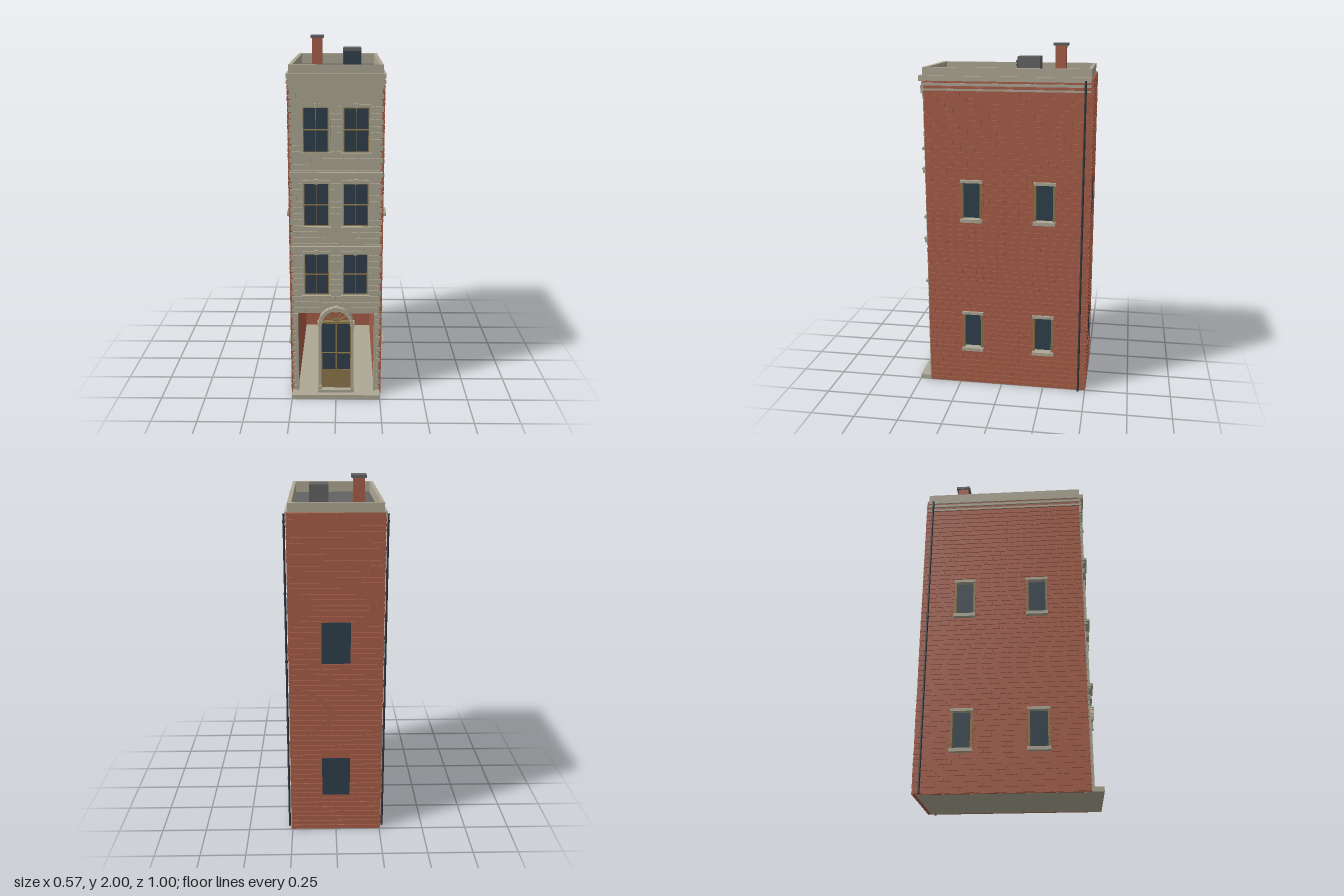
import * as THREE from 'three';
import { mergeGeometries } from 'three/addons/utils/BufferGeometryUtils.js';

const paint = (name, color) => {
  const m = new THREE.MeshStandardMaterial({ color });
  m.name = name;
  return m;
};
const MAT = {
  brick: paint('brick red', 0xa85e48),
  stone: paint('limestone', 0xaea894),
  glass: paint('dark glass', 0x2f3f4c),
  wood: paint('golden wood', 0x8d774b),
  roof: paint('roof grey', 0x626263),
  iron: paint('dark iron', 0x33393e),
};

// Box given by its two extremes on each axis
function span(x0, x1, y0, y1, z0, z1) {
  return new THREE.BoxGeometry(x1 - x0, y1 - y0, z1 - z0)
    .translate((x0 + x1) / 2, (y0 + y1) / 2, (z0 + z1) / 2);
}

function add(parent, name, mat, ...geos) {
  const mesh = new THREE.Mesh(geos.length > 1 ? mergeGeometries(geos) : geos[0], mat);
  mesh.name = name;
  parent.add(mesh);
  return mesh;
}

// Raised running-bond bricks on the plane z = 0, leaving out the holes [u0, u1, v0, v1]
function brickFace(u0, u1, v0, v1, holes, row, len, depth) {
  const geos = [], gap = 0.007;
  const rows = Math.round((v1 - v0) / row), h = (v1 - v0) / rows;
  for (let r = 0; r < rows; r++) {
    const a = v0 + r * h + gap / 2, b = a + h - gap;
    for (let u = u0 - (r % 2) * len / 2; u < u1; u += len) {
      let parts = [[Math.max(u + gap / 2, u0), Math.min(u + len - gap / 2, u1)]];
      for (const [h0, h1, k0, k1] of holes) {
        if (b <= k0 || a >= k1) continue;
        parts = parts.flatMap(([p, q]) => (q <= h0 || p >= h1) ? [[p, q]] : [[p, Math.min(q, h0)], [Math.max(p, h1), q]]);
      }
      for (const [p, q] of parts) if (q - p > 0.005) geos.push(span(p, q, a, b, 0, depth));
    }
  }
  return mergeGeometries(geos);
}

// Rectangular panel with rectangular holes
function panel(u0, u1, v0, v1, holes, depth) {
  const rect = (S, a, b, c, d) => new S([[a, c], [b, c], [b, d], [a, d]].map(p => new THREE.Vector2(...p)));
  const s = rect(THREE.Shape, u0, u1, v0, v1);
  s.holes = holes.map(h => rect(THREE.Path, ...h));
  return new THREE.ExtrudeGeometry(s, { depth, bevelEnabled: false });
}

// Recessed side window with wooden jambs, brick quoins, stone sill and lintel; s is the side of the house
function sideWindow(parent, s, z, y) {
  const g = new THREE.Group();
  g.name = 'sideWindow';
  g.position.set(s * 0.252, y, z);
  g.rotation.y = s * Math.PI / 2;
  add(g, 'sideGlass', MAT.glass, span(-0.056, 0.056, -0.112, 0.112, -0.022, -0.016));
  add(g, 'sideJambs', MAT.wood, span(-0.06, -0.048, -0.108, 0.108, -0.018, 0.013), span(0.048, 0.06, -0.108, 0.108, -0.018, 0.013));
  add(g, 'sideSillAndLintel', MAT.stone, span(-0.063, 0.063, -0.122, -0.103, -0.018, 0.031), span(-0.063, 0.063, 0.106, 0.122, -0.018, 0.018));
  const quoins = [];
  for (let i = 0; i < 8; i++) {
    const w = i % 2 ? 0.068 : 0.078, v = -0.102 + i * 0.026;
    quoins.push(span(-w, -0.06, v, v + 0.024, 0, 0.008), span(0.06, w, v, v + 0.024, 0, 0.008));
  }
  add(g, 'brickQuoins', MAT.brick, ...quoins);
  parent.add(g);
}

// Front sash window with stone surround
function frontWindow(parent, x, y) {
  const g = new THREE.Group();
  g.name = 'frontWindow';
  g.position.set(x, y, 0.433);
  add(g, 'frontGlass', MAT.glass, span(-0.064, 0.064, -0.118, 0.118, 0, 0.007));
  add(g, 'sash', MAT.wood,
    span(-0.068, -0.063, -0.12, 0.12, 0, 0.014), span(0.063, 0.068, -0.12, 0.12, 0, 0.014),
    span(-0.064, 0.064, 0.115, 0.12, 0, 0.014), span(-0.064, 0.064, -0.12, -0.115, 0, 0.014),
    span(-0.064, 0.064, -0.003, 0.004, 0, 0.013), span(-0.0015, 0.0015, -0.115, 0.115, 0, 0.011));
  add(g, 'surround', MAT.stone,
    span(-0.077, -0.067, -0.12, 0.12, 0, 0.02), span(0.067, 0.077, -0.12, 0.12, 0, 0.02),
    span(-0.078, 0.078, 0.119, 0.137, 0, 0.022), span(-0.01, 0.01, 0.117, 0.142, 0, 0.027),
    span(-0.08, 0.08, -0.134, -0.119, 0, 0.036),
    span(-0.07, -0.055, -0.147, -0.133, 0, 0.024), span(0.055, 0.07, -0.147, -0.133, 0, 0.024));
  parent.add(g);
}

// Arch segment between two radii and two angles
function wedge(r0, r1, a0, a1, depth) {
  const s = new THREE.Shape();
  s.absarc(0, 0, r1, a0, a1, false);
  s.absarc(0, 0, r0, a1, a0, true);
  return new THREE.ExtrudeGeometry(s, { depth, bevelEnabled: false, curveSegments: 8 });
}

export function createModel() {
  const house = new THREE.Group();
  house.name = 'townHouse';
  const rowsY = [0.34, 1.135], sideZ = [0.17, -0.247];

  // Base, floor and front step
  add(house, 'groundFloor', MAT.stone, span(-0.236, 0.236, 0, 0.025, -0.48, 0.433));
  add(house, 'frontStep', MAT.stone, span(-0.25, 0.25, 0, 0.025, 0.433, 0.5));
  add(house, 'doorStep', MAT.stone, span(-0.1, 0.1, 0.025, 0.04, 0.4, 0.47));

  // Side walls, raised bricks and plain inner lining
  for (const s of [-1, 1]) {
    const lx = s * 0.222, u0 = s > 0 ? -0.435 : -0.497, u1 = s > 0 ? 0.497 : 0.435;
    const holes = (w, h) => rowsY.flatMap(y => sideZ.map(z => [-s * z - w, -s * z + w, y - h, y + h]));
    const wall = add(house, 'sideWall', MAT.brick, panel(u0, u1, 0, 1.83, holes(0.055, 0.11), 0.015));
    const face = add(house, 'sideBricks', MAT.brick, brickFace(u0, u1, 0, 1.81, holes(0.068, 0.11), 0.03, 0.083, 0.005));
    wall.position.x = s * 0.237;
    face.position.x = s * 0.252;
    wall.rotation.y = face.rotation.y = s * Math.PI / 2;
    add(house, 'innerSideWall', MAT.brick, span(lx - 0.004, lx + 0.004, 0.025, 1.8, -0.48, 0.415));
    for (const y of rowsY) for (const z of sideZ) sideWindow(house, s, z, y);

    // Drainpipe with clips
    const pipe = new THREE.CylinderGeometry(0.006, 0.006, 1.82, 10).translate(s * 0.268, 0.91, -0.46);
    const clips = [0.25, 0.63, 1.02, 1.4, 1.78].map(y =>
      new THREE.CylinderGeometry(0.0075, 0.0075, 0.012, 10).translate(s * 0.268, y, -0.46));
    add(house, 'drainpipe', MAT.iron, pipe, ...clips);
  }

  // Back wall with two flush windows
  add(house, 'backWall', MAT.brick, span(-0.245, 0.245, 0, 1.83, -0.496, -0.479));
  add(house, 'innerBackWall', MAT.brick, span(-0.226, 0.226, 0.025, 1.8, -0.479, -0.472));
  const back = add(house, 'backBricks', MAT.brick,
    brickFace(-0.25, 0.25, 0, 1.83, rowsY.map(y => [-0.078, 0.078, y - 0.115, y + 0.115]), 0.03, 0.083, 0.006));
  back.rotation.y = Math.PI;
  back.position.z = -0.496;
  for (const y of rowsY) add(house, 'backGlass', MAT.glass, span(-0.078, 0.078, y - 0.115, y + 0.115, -0.5, -0.492));

  // Front wall, open on the ground floor with an arch over the door
  const wall = new THREE.Shape();
  wall.moveTo(-0.249, 0.025).lineTo(-0.215, 0.025).lineTo(-0.215, 0.5).lineTo(-0.066, 0.5);
  wall.absarc(0, 0.446, 0.085, Math.PI * 0.78, Math.PI * 0.22, true);
  wall.lineTo(0.215, 0.5).lineTo(0.215, 0.025).lineTo(0.249, 0.025).lineTo(0.249, 1.83).lineTo(-0.249, 1.83);
  add(house, 'frontWall', MAT.stone,
    new THREE.ExtrudeGeometry(wall, { depth: 0.018, bevelEnabled: false }).translate(0, 0, 0.415));
  const floors = [0.737, 1.135, 1.542], winX = [-0.107, 0.107];
  const holes = [[-0.215, 0.215, 0, 0.495], [-0.085, 0.085, 0.48, 0.528]];
  for (const y of floors) for (const x of winX) {
    holes.push([x - 0.068, x + 0.068, y - 0.12, y + 0.12]);
    frontWindow(house, x, y);
  }
  add(house, 'frontStones', MAT.stone, brickFace(-0.25, 0.25, 0.025, 1.77, holes, 0.034, 0.083, 0.007)).position.z = 0.433;
  for (const y of [0.885, 1.3]) {
    add(house, 'beltCourse', MAT.stone, span(-0.25, 0.25, y - 0.012, y + 0.008, 0.433, 0.45), span(-0.25, 0.25, y + 0.008, y + 0.015, 0.433, 0.457));
  }

  // Pilaster edges beside the ground floor openings
  for (const s of [-1, 1]) add(house, 'pilaster', MAT.stone, span(s * 0.221 - 0.007, s * 0.221 + 0.007, 0.025, 0.5, 0.412, 0.446));

  // Door, frame and arched fanlight
  const door = new THREE.Group();
  door.name = 'frontDoor';
  house.add(door);
  for (const s of [-1, 1]) {
    const box = (a, b, ...r) => span(Math.min(s * a, s * b), Math.max(s * a, s * b), ...r);
    add(door, 'doorPost', MAT.stone, box(0.084, 0.1, 0.025, 0.45, 0.415, 0.456), box(0.08, 0.104, 0.436, 0.452, 0.415, 0.47), box(0.082, 0.103, 0.025, 0.06, 0.415, 0.465));
    add(door, 'doorGlass', MAT.glass, box(0.003, 0.082, 0.155, 0.45, 0.425, 0.434));
    add(door, 'doorPanel', MAT.wood, box(0.003, 0.084, 0.04, 0.155, 0.423, 0.437));
    add(door, 'doorFrame', MAT.wood, box(0.001, 0.004, 0.04, 0.45, 0.422, 0.438), box(0.079, 0.085, 0.04, 0.45, 0.422, 0.44), box(0, 0.08, 0.256, 0.261, 0.422, 0.438));
  }
  add(door, 'transom', MAT.wood, span(-0.085, 0.085, 0.441, 0.453, 0.42, 0.445));
  add(door, 'doorHandle', MAT.iron, span(0.037, 0.043, 0.205, 0.25, 0.434, 0.45));
  const spokes = [1, 2, 3, 4, 5].map(i =>
    span(0.018, 0.077, -0.0025, 0.0025, 0, 0.012).rotateZ(i * Math.PI / 6).translate(0, 0.448, 0.424));
  add(door, 'fanlightSpokes', MAT.wood, ...spokes);
  add(door, 'fanlightRims', MAT.wood, wedge(0.001, 0.02, 0, Math.PI, 0.014).translate(0, 0.448, 0.423),
    wedge(0.07, 0.078, 0, Math.PI, 0.014).translate(0, 0.448, 0.423));
  const stones = [];
  for (let i = 0; i < 11; i++) {
    const a = Math.PI / 11;
    stones.push(wedge(0.077, 0.097, i * a + 0.015, (i + 1) * a - 0.015, 0.055).translate(0, 0.448, 0.415));
  }
  add(door, 'archStones', MAT.stone, ...stones, wedge(0.079, 0.095, 0, Math.PI, 0.048).translate(0, 0.448, 0.417));
  add(door, 'keystone', MAT.stone, span(-0.01, 0.01, 0.522, 0.549, 0.42, 0.475));

  // Cornice bands and dentils
  for (const [x, y0, y1, z] of [[0.26, 1.755, 1.766, 0.44], [0.262, 1.782, 1.797, 0.44], [0.262, 1.808, 1.835, 0.425]]) {
    for (const s of [-1, 1]) add(house, 'sideCornice', MAT.stone, span(s > 0 ? 0.24 : -x, s > 0 ? x : -0.24, y0, y1, -0.49, z));
  }
  add(house, 'frontCornice', MAT.stone, span(-0.25, 0.25, 1.765, 1.782, 0.43, 0.452),
    span(-0.25, 0.25, 1.782, 1.805, 0.43, 0.446), span(-0.254, 0.254, 1.805, 1.835, 0.42, 0.462));
  const dentils = [];
  for (let i = 0; i < 16; i++) {
    const x = -0.234 + i * 0.0312;
    dentils.push(span(x - 0.008, x + 0.008, 1.735, 1.766, 0.433, 0.452), span(x - 0.005, x + 0.005, 1.718, 1.735, 0.433, 0.446));
  }
  add(house, 'dentils', MAT.stone, ...dentils);

  // Parapet around the flat roof
  add(house, 'parapet', MAT.stone,
    span(-0.247, -0.227, 1.8, 1.88, -0.49, 0.44), span(0.227, 0.247, 1.8, 1.88, -0.49, 0.44),
    span(-0.227, 0.227, 1.8, 1.88, -0.49, -0.472), span(-0.227, 0.227, 1.8, 1.88, 0.412, 0.44));
  add(house, 'flatRoof', MAT.roof, span(-0.235, 0.235, 1.8, 1.818, -0.48, 0.42));

  // Chimney
  add(house, 'chimney', MAT.brick, span(-0.154, -0.093, 1.815, 1.985, -0.323, -0.261));
  add(house, 'chimneyCap', MAT.roof, span(-0.163, -0.083, 1.985, 2, -0.334, -0.25));

  // Roof vent with louvred front
  add(house, 'roofVent', MAT.roof, span(0.035, 0.14, 1.815, 1.936, -0.2, -0.075));
  add(house, 'ventOpening', MAT.glass, span(0.037, 0.138, 1.82, 1.918, -0.076, -0.071));
  const slats = [1.83, 1.85, 1.87, 1.89, 1.91].map(y => span(0.037, 0.138, y - 0.003, y + 0.003, -0.076, -0.067));
  add(house, 'ventLouvres', MAT.glass, ...slats);

  return house;
}
